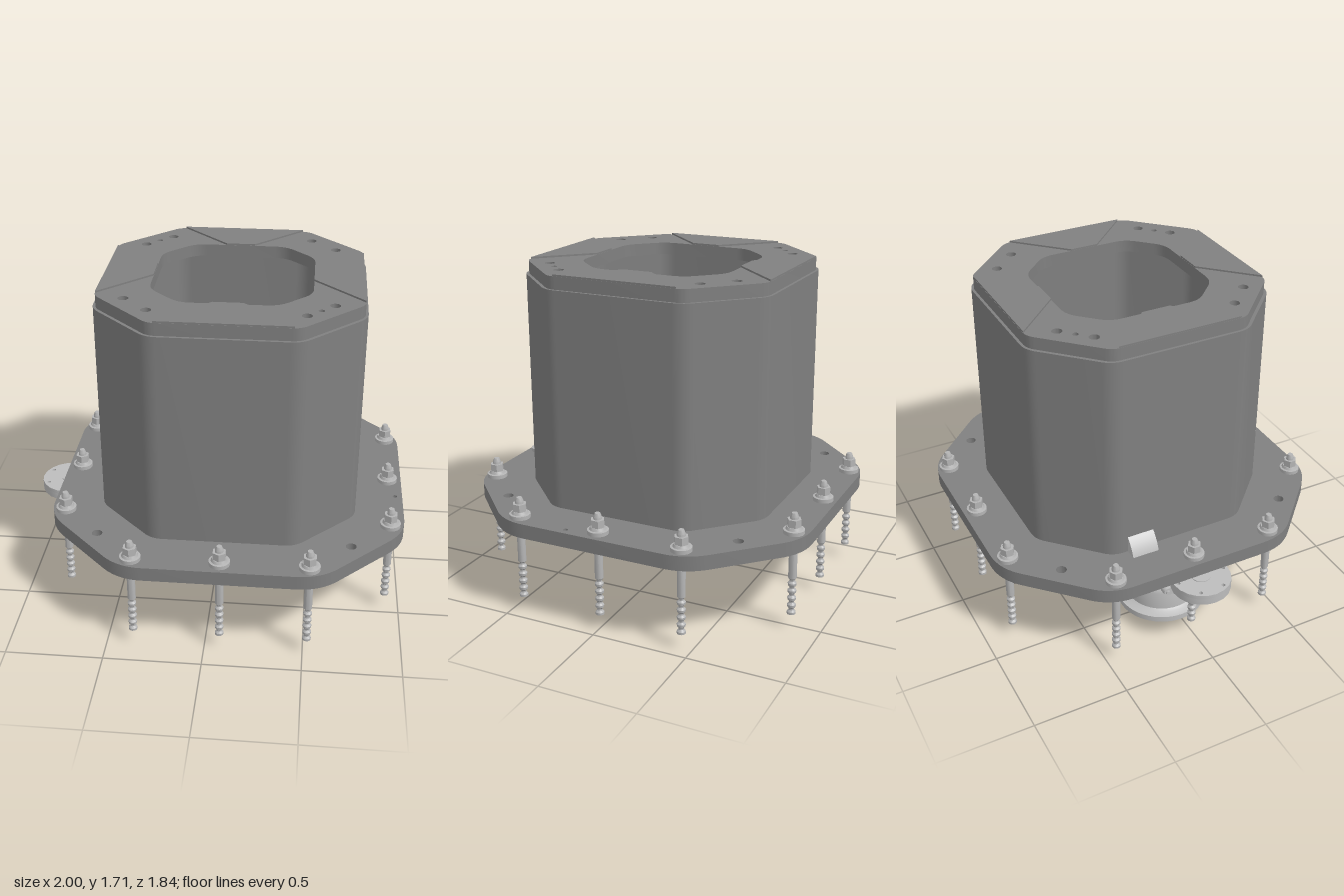
import * as THREE from 'three';
import { toCreasedNormals } from 'three/addons/utils/BufferGeometryUtils.js';

const CX = 0.077; // centre of the plate and housing in x
const AX = -0.435; // axis of the robot base

// Octagon with filleted corners: half size, chamfer, fillet length
function octagon(target, h, chamfer, t) {
  const a = h - chamfer;
  const p = [[a, -h], [h, -a], [h, a], [a, h], [-a, h], [-h, a], [-h, -a], [-a, -h]]
    .map(([x, y]) => new THREE.Vector2(x, y));
  p.forEach((c, i) => {
    const prev = p[(i + 7) % 8], next = p[(i + 1) % 8];
    const s = c.clone().add(prev.clone().sub(c).setLength(t));
    const e = c.clone().add(next.clone().sub(c).setLength(t));
    if (i === 0) target.moveTo(s.x, s.y); else target.lineTo(s.x, s.y);
    target.quadraticCurveTo(c.x, c.y, e.x, e.y);
  });
  target.closePath();
  return target;
}

const circle = (x, z, r) => new THREE.Path().absarc(x, -z, r, 0, Math.PI * 2, true);

// Horizontal slab from y0 to y1; shape y runs towards -z
function slab(shape, y0, y1) {
  const g = new THREE.ExtrudeGeometry(shape, { depth: y1 - y0, bevelEnabled: false, curveSegments: 10 });
  g.rotateX(-Math.PI / 2).translate(0, y0, 0);
  return toCreasedNormals(g, 0.5);
}

function lathe(points, segments = 48) {
  const g = new THREE.LatheGeometry(points.map(([r, y]) => new THREE.Vector2(r, y)), segments);
  return toCreasedNormals(g, 0.5);
}

export function createModel() {
  const model = new THREE.Group();
  const material = (name, color) => {
    const m = new THREE.MeshStandardMaterial({ color });
    m.name = name;
    return m;
  };
  const steel = material('painted steel grey', 0x808080);
  const zinc = material('zinc bolt grey', 0xb4b4b4);
  const cast = material('light casting grey', 0xbcbcbc);
  const add = (parent, name, geometry, mat, x = 0, y = 0, z = 0) => {
    const m = new THREE.Mesh(geometry, mat);
    m.name = name;
    m.position.set(x, y, z);
    parent.add(m);
    return m;
  };

  // Base plate with the large opening and drilled holes
  const plate = octagon(new THREE.Shape(), 0.922, 0.425, 0.12);
  plate.holes.push(octagon(new THREE.Path(), 0.625, 0.29, 0.05), circle(0.883, 0.16, 0.012));
  for (const sx of [-1, 1]) for (const sz of [-1, 1]) plate.holes.push(circle(sx * 0.645, sz * 0.645, 0.027));
  add(model, 'basePlate', slab(plate, 0.44, 0.515), steel, CX);

  // Hollow housing
  const wall = octagon(new THREE.Shape(), 0.668, 0.305, 0.055);
  wall.holes.push(octagon(new THREE.Path(), 0.64, 0.295, 0.05));
  add(model, 'housing', slab(wall, 0.515, 1.635), steel, CX);

  // Top plate with central opening and corner holes
  const cap = octagon(new THREE.Shape(), 0.654, 0.3, 0.04);
  cap.holes.push(octagon(new THREE.Path(), 0.402, 0.16, 0.06));
  for (const sx of [-1, 1]) for (const sz of [-1, 1]) {
    cap.holes.push(circle(sx * 0.377, sz * 0.507, 0.026), circle(sx * 0.507, sz * 0.377, 0.026));
    if (sx === sz) cap.holes.push(circle(sx * 0.443, sz * 0.443, 0.015));
  }
  add(model, 'topPlate', slab(cap, 1.635, 1.699), steel, CX);

  // Raised pads between the corners of the top plate
  const pad = new THREE.Shape([[-0.325, -0.653], [0.325, -0.653], [0.075, -0.403], [-0.075, -0.403]]
    .map(([x, y]) => new THREE.Vector2(x, y)));
  for (let i = 0; i < 4; i++) {
    add(model, 'topPad', slab(pad, 1.699, 1.708), steel, CX).rotation.y = i * Math.PI / 2;
  }

  // Anchor bolts: notched stud, washer, cone seat and hex nut
  const studProfile = [[0, 0.08], [0.022, 0.08]];
  for (let i = 0; i < 5; i++) {
    const y = 0.08 + i * 0.039;
    studProfile.push([0.022, y + 0.012], [0.013, y + 0.022], [0.013, y + 0.03], [0.021, y + 0.039]);
  }
  studProfile.push([0.021, 0.6], [0.014, 0.62], [0, 0.62]);
  const stud = lathe(studProfile, 16);
  const washer = lathe([[0, 0.515], [0.053, 0.515], [0.053, 0.535], [0.042, 0.537], [0.036, 0.55], [0, 0.55]], 24);
  const nut = new THREE.CylinderGeometry(0.036, 0.036, 0.042, 6).toNonIndexed();
  nut.computeVertexNormals();
  const spots = [];
  for (const s of [-1, 1]) for (const k of [-1, 0, 1]) {
    spots.push([k * 0.442, s * 0.85], [s * 0.847, k * 0.442]);
  }
  for (const [x, z] of spots) {
    const bolt = new THREE.Group();
    bolt.name = 'anchorBolt';
    bolt.position.set(CX + x, 0, z);
    add(bolt, 'stud', stud, zinc);
    add(bolt, 'washer', washer, zinc);
    add(bolt, 'nut', nut, zinc, 0, 0.568);
    model.add(bolt);
  }

  // Robot: round foot tapering to the neck
  const robot = new THREE.Group();
  robot.name = 'robot';
  robot.position.x = AX;
  model.add(robot);
  add(robot, 'foot', lathe([[0, 0], [0.238, 0], [0.238, 0.032], [0.205, 0.04], [0.19, 0.05],
    [0.187, 0.15], [0.18, 0.175], [0.145, 0.215], [0, 0.215]]), cast);
  add(robot, 'neck', new THREE.BoxGeometry(0.265, 0.23, 0.25), cast, 0, 0.325, -0.005);
  add(robot, 'neckCover', new THREE.BoxGeometry(0.2, 0.06, 0.05), cast, 0, 0.41, 0.135);
  add(robot, 'neckBoss', new THREE.BoxGeometry(0.06, 0.14, 0.17), cast, 0.15, 0.43, 0);

  // Cylinders lying along z: shoulder, big joint disc and lifting eye
  const along = (name, r, length, y, z) => {
    const m = add(robot, name, new THREE.CylinderGeometry(r, r, length, 48), cast, 0, y, z);
    m.rotation.x = Math.PI / 2;
    return m;
  };
  along('shoulder', 0.132, 0.25, 0.44, -0.005);
  along('jointDisc', 0.235, 0.145, 0.43, -0.2125);
  add(robot, 'eyeTab', new THREE.BoxGeometry(0.08, 0.06, 0.06), cast, 0, 0.23, 0.13);
  along('eyeBoss', 0.04, 0.06, 0.262, 0.13);
  along('eyePin', 0.018, 0.068, 0.262, 0.13);

  // Connector plates with two screws on either side of the foot
  for (const s of [-1, 1]) {
    add(robot, 'connectorPlate', new THREE.BoxGeometry(0.06, 0.045, 0.13), cast, s * 0.165, 0.18, 0);
    for (const z of [-0.065, 0.065]) {
      const end = add(robot, 'connectorEnd', new THREE.CylinderGeometry(0.0225, 0.0225, 0.06, 20), cast, s * 0.165, 0.18, z);
      end.rotation.z = Math.PI / 2;
      const screw = add(robot, 'connectorScrew', new THREE.CylinderGeometry(0.012, 0.012, 0.07, 12), cast, s * 0.17, 0.18, z);
      screw.rotation.z = Math.PI / 2;
    }
  }

  // Cup-shaped flange beside the base plate
  const flange = new THREE.Shape().absarc(0, 0, 0.155, 0, Math.PI * 2, false);
  for (let i = 0; i < 6; i++) {
    const a = (i + 0.5) * Math.PI / 3;
    flange.holes.push(circle(Math.cos(a) * 0.13, Math.sin(a) * 0.13, 0.01));
  }
  flange.curveSegments = 32;
  const rim = new THREE.Shape().absarc(0, 0, 0.155, 0, Math.PI * 2, false);
  rim.holes.push(circle(0, 0, 0.118));
  add(model, 'flangeTop', slab(flange, 0.415, 0.436), cast, -0.845);
  add(model, 'flangeRim', slab(rim, 0.38, 0.415), cast, -0.845);
  add(model, 'flangeHub', new THREE.CylinderGeometry(0.05, 0.05, 0.02, 32), cast, -0.845, 0.43);
  return model;
}
